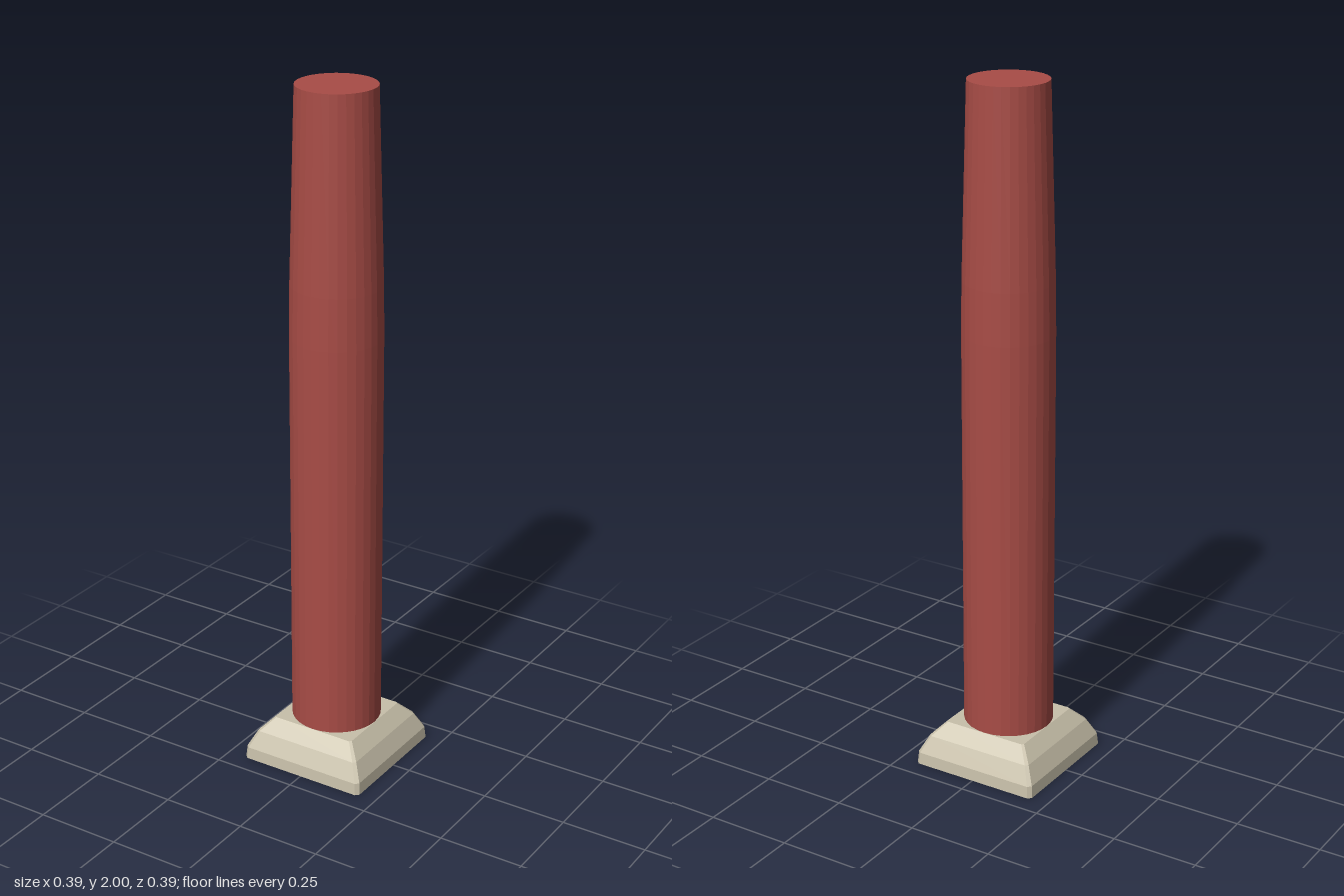
import * as THREE from 'three';

// Lofts chamfered-square rings [halfWidth, y, chamfer] into a closed solid.
function loftChamferedSquare(rings) {
  const positions = [];
  const corners = rings.map(([h, y, c]) => {
    const k = h - c;
    return [[h, -k], [h, k], [k, h], [-k, h], [-h, k], [-h, -k], [-k, -h], [k, -h]]
      .map(([x, z]) => [x, y, z]);
  });
  const tri = (a, b, c) => positions.push(...a, ...b, ...c);
  for (let r = 0; r < corners.length - 1; r++) {
    const low = corners[r], high = corners[r + 1];
    for (let i = 0; i < 8; i++) {
      const j = (i + 1) % 8;
      tri(low[i], high[i], high[j]);
      tri(low[i], high[j], low[j]);
    }
  }
  // Flat caps
  const bottom = corners[0], top = corners[corners.length - 1];
  for (let i = 1; i < 7; i++) {
    tri(bottom[0], bottom[i], bottom[i + 1]);
    tri(top[0], top[i + 1], top[i]);
  }
  const geometry = new THREE.BufferGeometry();
  geometry.setAttribute('position', new THREE.Float32BufferAttribute(positions, 3));
  geometry.computeVertexNormals();
  return geometry;
}

export function createModel() {
  const model = new THREE.Group();
  model.name = 'column';

  const stone = new THREE.MeshStandardMaterial({ color: 0xc8c0aa });
  stone.name = 'pale stone';
  const red = new THREE.MeshStandardMaterial({ color: 0xa84c46 });
  red.name = 'red paint';

  // Square plinth with rounded shoulders and clipped corners
  const plinth = new THREE.Mesh(loftChamferedSquare([
    [0.196, 0, 0.01],
    [0.193, 0.035, 0.01],
    [0.168, 0.085, 0.008],
    [0.131, 0.125, 0.006],
  ]), stone);
  plinth.name = 'plinth';
  model.add(plinth);

  // Round shaft, straight below and gently tapered above
  const profile = [[0, 0.12], [0.13, 0.12], [0.13, 1.3], [0.128, 1.45], [0.112, 2], [0, 2]]
    .map(([x, y]) => new THREE.Vector2(x, y));
  const shaftGeometry = new THREE.LatheGeometry(profile, 32).toNonIndexed();
  shaftGeometry.computeVertexNormals();
  const shaft = new THREE.Mesh(shaftGeometry, red);
  shaft.name = 'shaft';
  model.add(shaft);

  return model;
}
